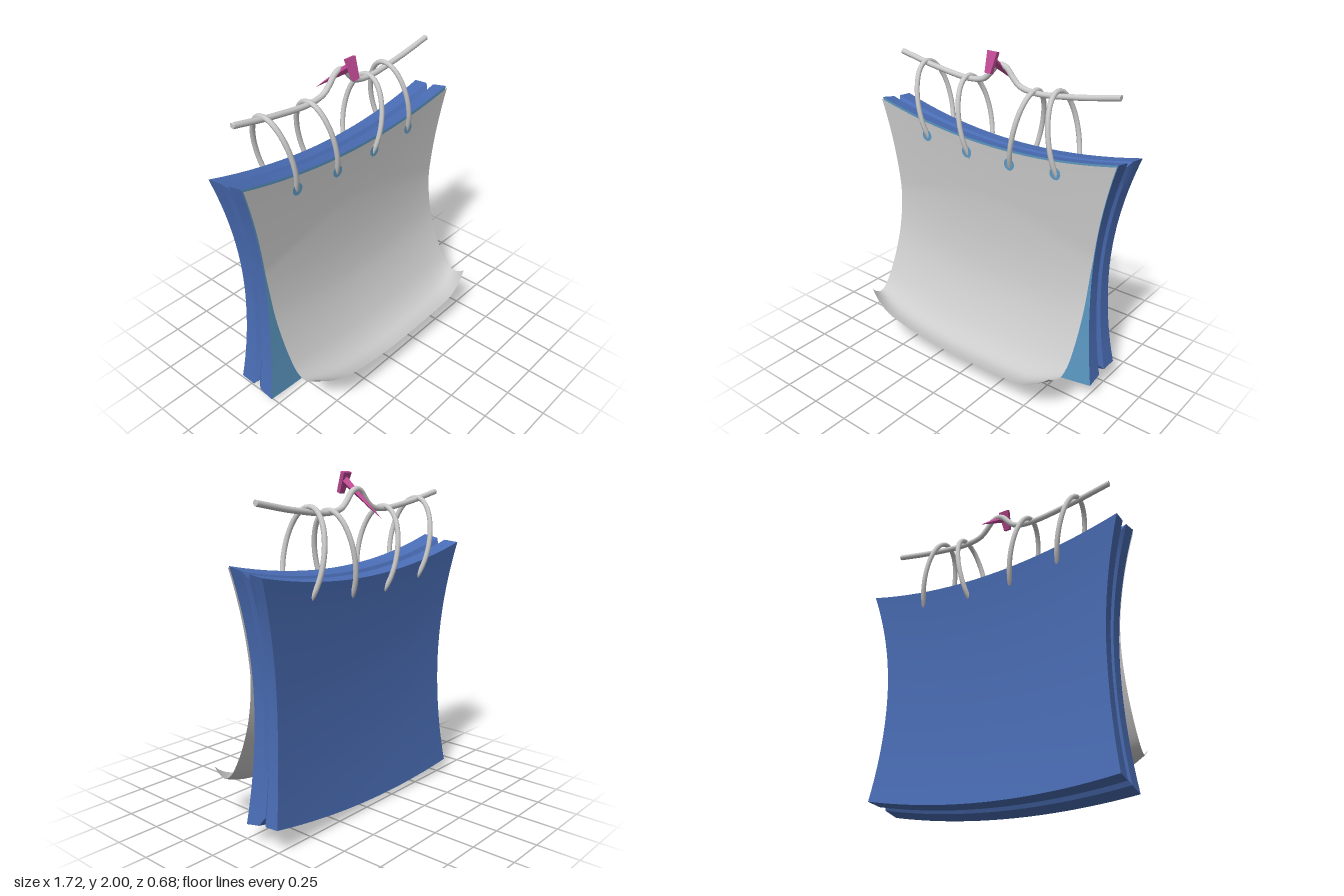
import * as THREE from 'three';
import { toCreasedNormals } from 'three/addons/utils/BufferGeometryUtils.js';

const mat = (color, side = THREE.FrontSide) => new THREE.MeshStandardMaterial({ color, side });
const GREY = mat(0xcccccc), PAPER = mat(0xcccccc, THREE.DoubleSide);
const BLUE = mat(0x4a6db5), LIGHT_BLUE = mat(0x5d9bc6), PINK = mat(0xc04a94);

// Grid surface from fn(u, v) -> [x, y, z]; the front is on the u cross v side
function surface(nu, nv, fn) {
  const pos = [], idx = [];
  for (let j = 0; j <= nv; j++) {
    for (let i = 0; i <= nu; i++) {
      pos.push(...fn(i / nu, j / nv));
      if (i < nu && j < nv) {
        const a = j * (nu + 1) + i, b = a + nu + 1;
        idx.push(a, a + 1, b + 1, a, b + 1, b);
      }
    }
  }
  const g = new THREE.BufferGeometry();
  g.setAttribute('position', new THREE.Float32BufferAttribute(pos, 3));
  g.setIndex(idx);
  g.computeVertexNormals();
  return g;
}

// Pinched outline shared by the pad and the paper
const halfWidth = (v) => 0.725 + (v > 0.45 ? 0.41 : 0.27) * (v - 0.45) ** 2;
const topY = (x) => 1.46 + 0.105 * x * x - 0.015 * x;
const bottomY = (x) => 0.01 + 0.0675 * x * x + 0.0375 * x;
const frontZ = (x, v) => -0.07 + 0.1 * (v - 0.5) ** 2 + 0.012 * x * x;
const backZ = (x, v) => -0.225 - 0.16 * (v - 0.5) ** 2 - 0.015 * x * x;

// Point of the pad: t runs front (0) to back (1), inset pulls towards the middle
function padPoint(u, v, t, inset = 0) {
  const x = 2 * u - 1;
  const y = THREE.MathUtils.lerp(bottomY(x) + 0.045 * t, topY(x) - 0.035 * t, v);
  return [
    x * halfWidth(v) * (1 + 0.01 * t) * (1 - 0.035 * inset),
    y + 0.045 * inset * (1 - 2 * v),
    THREE.MathUtils.lerp(frontZ(x, v), backZ(x, v), t),
  ];
}

export function createModel() {
  const model = new THREE.Group();
  const add = (name, geometry, material, parent = model) => {
    const m = new THREE.Mesh(geometry, material);
    m.name = name;
    parent.add(m);
    return m;
  };

  // Thick pad: front, back and four grooved edges
  const pad = new THREE.Group();
  pad.name = 'pad';
  model.add(pad);
  add('padFront', surface(20, 20, (u, v) => padPoint(u, v, 0)), LIGHT_BLUE, pad);
  add('padBack', surface(20, 20, (u, v) => padPoint(1 - u, v, 1)), BLUE, pad);
  const layers = [[1, 0], [0.62, 0.1], [0.5, 1], [0.4, 0.1], [0, 0]];
  const edges = {
    bottomEdge: (s) => [s, 0],
    rightEdge: (s) => [1, s],
    topEdge: (s) => [1 - s, 1],
    leftEdge: (s) => [0, 1 - s],
  };
  for (const [name, path] of Object.entries(edges)) {
    const g = surface(20, layers.length - 1, (s, k) => {
      const [t, inset] = layers[Math.round(k * (layers.length - 1))];
      return padPoint(...path(s), t, inset);
    });
    add(name, toCreasedNormals(g, 0.5), BLUE, pad);
  }

  // Hanging sheet that curls forward at the bottom, with lifted corners
  const profile = new THREE.CatmullRomCurve3([
    [1.452, -0.04], [1.2, -0.05], [0.95, -0.048], [0.75, -0.03], [0.58, 0.005],
    [0.4, 0.075], [0.27, 0.155], [0.21, 0.23], [0.205, 0.29], [0.215, 0.34],
  ].map(([y, z]) => new THREE.Vector3(0, y, z)));
  const sheet = surface(36, 48, (u, v) => {
    const x = 2 * u - 1, p = 1 - v;
    const c = profile.getPointAt(p);
    const pv = (c.y - 0.01) / 1.45;
    const half = pv > 0.45 ? halfWidth(pv) : 0.725;
    const topShift = topY(x) - 1.46;
    const lowShift = x < 0 ? 0.07 * x * x : 0.045 * x ** 4;
    const curl = Math.max(0, (p - 0.82) / 0.18) ** 1.5;
    const corner = Math.max(0, (Math.abs(x) - 0.65) / 0.35) ** 2;
    const lift = x < 0 ? 0.05 * x * x + 0.03 * corner : 0.07 * corner;
    return [
      x * half * (1 - 0.02 * curl * corner),
      c.y + THREE.MathUtils.lerp(lowShift, topShift, Math.min(1, pv * 1.02)) + lift * curl,
      Math.max(c.z, frontZ(x, pv) + 0.012) - (x < 0 ? 0.05 : 0.03) * corner * curl,
    ];
  });
  add('sheet', sheet, PAPER);

  // Binding rings, each with a coloured punch hole where it enters the sheet
  const rings = [
    [-0.57, 1.835, -0.475, 1.41], [-0.245, 1.8, -0.16, 1.38],
    [0.235, 1.8, 0.155, 1.38], [0.385, 1.825, 0.468, 1.405],
  ];
  for (const [tx, ty, hx, hy] of rings) {
    const pts = [];
    for (let i = 0; i < 32; i++) {
      const a = (i / 32) * Math.PI * 2;
      const y = ty - 0.265 + 0.265 * Math.cos(a);
      pts.push(new THREE.Vector3(tx + (hx - tx) * (ty - y) / (ty - hy), y, -0.153 + 0.147 * Math.sin(a)));
    }
    const curve = new THREE.CatmullRomCurve3(pts, true);
    add('ring', new THREE.TubeGeometry(curve, 48, 0.015, 10, true), GREY);
    add('punchHole', new THREE.CircleGeometry(0.036, 20), LIGHT_BLUE).position.set(hx, hy, -0.028);
  }

  // Hanger rod with a hump in the middle, and its end caps
  const rodHalf = [[0.77, 1.862], [0.5, 1.812], [0.24, 1.785], [0.13, 1.803], [0.08, 1.845], [0.04, 1.89]];
  const rodPts = [
    ...rodHalf.map(([x, y]) => [-x, y]), [0, 1.905], ...rodHalf.slice().reverse(),
  ].map(([x, y]) => new THREE.Vector3(x, y, -0.153));
  const rod = new THREE.CatmullRomCurve3(rodPts);
  add('hangerRod', new THREE.TubeGeometry(rod, 80, 0.017, 12), GREY);
  for (const s of [-1, 1]) {
    const cap = add('rodEnd', new THREE.CircleGeometry(0.017, 12), GREY);
    cap.position.set(s * 0.77, 1.862, -0.153);
    cap.rotation.y = s * Math.PI / 2;
  }

  // Nail: tapered plate head and a long square spike
  const headShape = new THREE.Shape([[-0.034, 0.062], [-0.02, -0.062], [0.02, -0.062], [0.034, 0.062]]
    .map(([x, y]) => new THREE.Vector2(x, y)));
  const head = add('nailHead',
    new THREE.ExtrudeGeometry(headShape, { depth: 0.025, bevelEnabled: false }).translate(0, 0, -0.0125), PINK);
  head.position.set(0, 1.938, -0.056);
  head.rotation.x = -0.35;
  const from = new THREE.Vector3(0, 1.955, -0.06), to = new THREE.Vector3(0, 1.745, -0.338);
  const spikeGeometry = new THREE.ConeGeometry(0.026, from.distanceTo(to), 4).toNonIndexed();
  spikeGeometry.computeVertexNormals();
  const spike = add('nailSpike', spikeGeometry, PINK);
  spike.position.copy(from).lerp(to, 0.5);
  spike.quaternion.setFromUnitVectors(new THREE.Vector3(0, 1, 0), to.clone().sub(from).normalize());

  return model;
}
